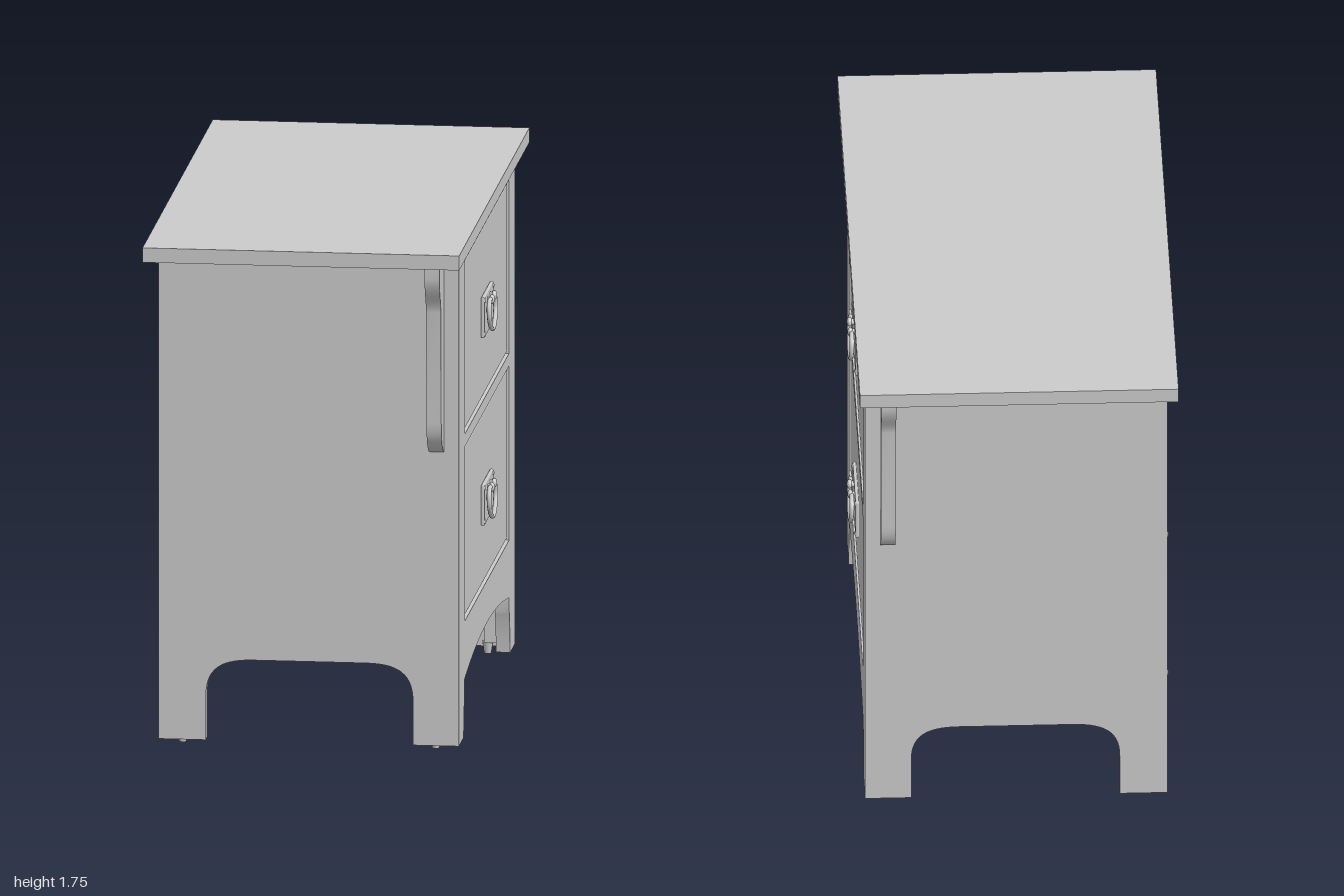
import * as THREE from 'three';
import { toCreasedNormals } from 'three/addons/utils/BufferGeometryUtils.js';
import { RoundedBoxGeometry } from 'three/addons/geometries/RoundedBoxGeometry.js';

const material = new THREE.MeshStandardMaterial({ color: 0xcccccc });

function add(parent, name, geometry, x = 0, y = 0, z = 0) {
  const mesh = new THREE.Mesh(geometry, material);
  mesh.name = name;
  mesh.position.set(x, y, z);
  parent.add(mesh);
  return mesh;
}

// Box given by its limits on each axis
function box(parent, name, x0, x1, y0, y1, z0, z1) {
  return add(parent, name, new THREE.BoxGeometry(x1 - x0, y1 - y0, z1 - z0),
    (x0 + x1) / 2, (y0 + y1) / 2, (z0 + z1) / 2);
}

function extrude(shape, depth) {
  return toCreasedNormals(new THREE.ExtrudeGeometry(shape, { depth, bevelEnabled: false, curveSegments: 14 }), 0.5);
}

// Shape drawn in (z, y), extruded along x and ending at xMax
function extrudeX(parent, name, shape, depth, xMax) {
  const mesh = add(parent, name, extrude(shape, depth), xMax);
  mesh.rotation.y = -Math.PI / 2;
  return mesh;
}

// Side panel with a round-cornered cutout between its two legs
function sideShape() {
  const s = new THREE.Shape();
  s.moveTo(-0.51, 0.02);
  s.lineTo(-0.35, 0.02);
  s.lineTo(-0.35, 0.17);
  s.bezierCurveTo(-0.35, 0.265, -0.3, 0.298, -0.19, 0.298);
  s.lineTo(0.19, 0.298);
  s.bezierCurveTo(0.3, 0.298, 0.35, 0.265, 0.35, 0.17);
  s.lineTo(0.35, 0.02);
  s.lineTo(0.457, 0.02);
  s.lineTo(0.457, 1.7);
  s.lineTo(-0.51, 1.7);
  s.closePath();
  return s;
}

// Face frame with arched apron, shaped legs and two drawer openings
function frameShape() {
  const s = new THREE.Shape();
  s.moveTo(-0.8, 0.02);
  s.lineTo(-0.663, 0.02);
  s.quadraticCurveTo(-0.655, 0.1, -0.635, 0.165);
  s.lineTo(-0.632, 0.215);
  s.quadraticCurveTo(0, 0.322, 0.632, 0.215);
  s.lineTo(0.635, 0.165);
  s.quadraticCurveTo(0.655, 0.1, 0.663, 0.02);
  s.lineTo(0.8, 0.02);
  s.lineTo(0.8, 1.7);
  s.lineTo(-0.8, 1.7);
  s.closePath();
  for (const [y0, y1] of [[0.413, 1.012], [1.055, 1.652]]) {
    const hole = new THREE.Path();
    hole.moveTo(-0.631, y0);
    hole.lineTo(-0.631, y1);
    hole.lineTo(0.631, y1);
    hole.lineTo(0.631, y0);
    hole.closePath();
    s.holes.push(hole);
  }
  return s;
}

// Bracket supporting the overhanging top
function corbelShape(side) {
  const s = new THREE.Shape();
  s.moveTo(side * 0.8, 1.7);
  s.lineTo(side * 0.935, 1.7);
  s.lineTo(side * 0.935, 1.65);
  s.bezierCurveTo(side * 0.93, 1.6, side * 0.895, 1.57, side * 0.89, 1.53);
  s.lineTo(side * 0.88, 1.15);
  s.bezierCurveTo(side * 0.878, 1.08, side * 0.85, 1.05, side * 0.8, 1.03);
  s.closePath();
  return s;
}

// Back plate with corner pins, two posts and a hanging bail
function makePull() {
  const pull = new THREE.Group();
  pull.name = 'drawerPull';
  add(pull, 'pullPlate', new RoundedBoxGeometry(0.012, 0.14, 0.26, 2, 0.004), 0.004);
  for (const z of [-1, 1]) {
    for (const y of [-1, 1]) {
      const pin = add(pull, 'platePin', new THREE.SphereGeometry(0.009, 10, 8), 0.009, y * 0.058, z * 0.117);
      pin.scale.x = 0.6;
    }
    const post = add(pull, 'pullPost', new THREE.CylinderGeometry(0.011, 0.011, 0.024, 14), 0.014, 0.043, z * 0.032);
    post.rotation.z = Math.PI / 2;
    const knob = add(pull, 'postKnob', new THREE.SphereGeometry(0.016, 16, 12), 0.024, 0.043, z * 0.032);
    knob.scale.x = 0.6;
  }
  const points = [
    [0.02, 0.043, 0.032], [0.02, 0.046, 0.06], [0.02, 0.025, 0.085], [0.022, -0.01, 0.088],
    [0.023, -0.042, 0.062], [0.024, -0.06, 0.025],
  ].map((p) => new THREE.Vector3(...p));
  const mirrored = points.map((p) => new THREE.Vector3(p.x, p.y, -p.z)).reverse();
  const curve = new THREE.CatmullRomCurve3([...points, ...mirrored]);
  add(pull, 'pullBail', new THREE.TubeGeometry(curve, 60, 0.008, 8));
  return pull;
}

export function createModel() {
  const model = new THREE.Group();
  model.name = 'nightstand';

  // Carcass
  box(model, 'tabletop', -0.54, 0.53, 1.7, 1.75, -1, 1);
  extrudeX(model, 'faceFrame', frameShape(), 0.048, 0.505);
  box(model, 'bottomBoard', -0.497, 0.457, 0.33, 0.36, -0.755, 0.755);
  box(model, 'backPanel', -0.509, -0.497, 0.315, 1.7, -0.755, 0.755);
  box(model, 'backRail', -0.497, -0.46, 0.3, 0.33, -0.67, 0.67);

  for (const side of [-1, 1]) {
    const name = side > 0 ? 'left' : 'right';
    add(model, name + 'SidePanel', extrude(sideShape(), 0.045), 0, 0, side > 0 ? 0.755 : -0.8);
    extrudeX(model, name + 'Corbel', corbelShape(side), 0.05, 0.455);

    // Inner corner posts, back legs and foot glides
    const span = (a, b) => (side > 0 ? [a, b] : [-b, -a]);
    box(model, name + 'BackLeg', -0.496, -0.46, 0.02, 0.33, ...span(0.67, 0.755));
    box(model, name + 'BackCleat', -0.46, -0.415, 0.04, 0.33, ...span(0.715, 0.755));
    box(model, name + 'FrontCleat', 0.412, 0.457, 0.04, 0.33, ...span(0.715, 0.755));
    for (const x of [-0.435, 0.42]) {
      add(model, 'footGlide', new THREE.CylinderGeometry(0.018, 0.012, 0.04, 14), x, 0.02, side * 0.74);
    }
    for (const y of [0.1, 0.17, 0.25]) {
      const screw = add(model, 'cleatScrew', new THREE.CylinderGeometry(0.01, 0.01, 0.006, 10), -0.437, y, side * 0.713);
      screw.rotation.x = Math.PI / 2;
    }
  }

  // Drawers
  for (const [y, pullY] of [[0.7125, 0.7], [1.3535, 1.345]]) {
    add(model, 'drawerFront', new RoundedBoxGeometry(0.05, 0.588, 1.252, 3, 0.01), 0.475, y, 0);
    box(model, 'drawerBox', -0.4, 0.455, y - 0.25, y + 0.25, -0.6, 0.6);
    const pull = makePull();
    pull.position.set(0.502, pullY, 0);
    model.add(pull);
  }

  // Back panel screws
  const screws = [];
  for (const side of [-1, 1]) {
    for (const y of [0.46, 1.01, 1.56]) screws.push([y, side * 0.74]);
    for (const z of [0.2, 0.65]) screws.push([0.345, side * z], [1.665, side * z]);
  }
  for (const [y, z] of screws) {
    const head = add(model, 'backScrew', new THREE.SphereGeometry(0.013, 10, 8), -0.509, y, z);
    head.scale.x = 0.6;
  }
  return model;
}
